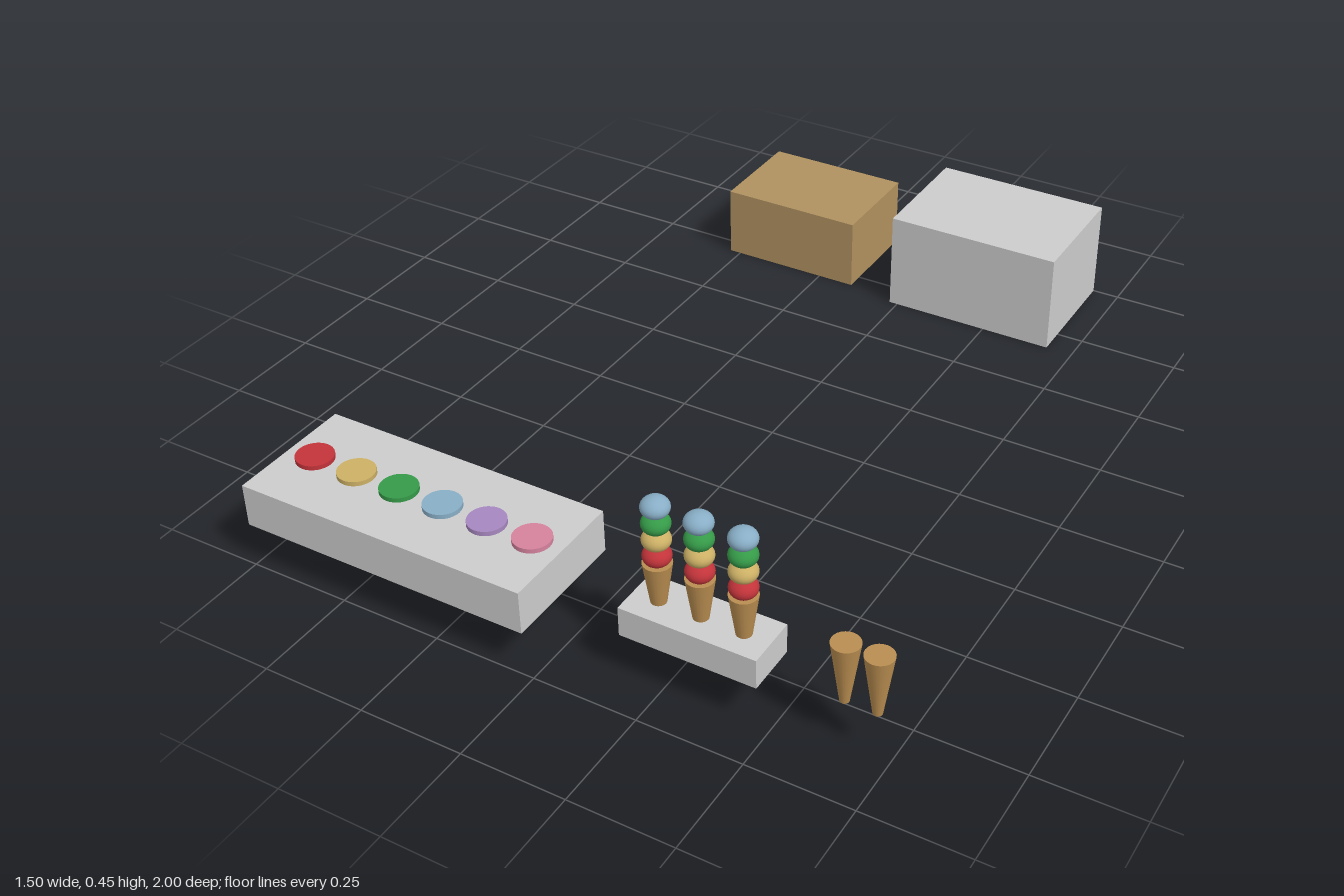
import * as THREE from 'three';

const mat = (color) => new THREE.MeshStandardMaterial({ color });
const grey = mat(0xcccccc);
const wood = mat(0xb0915f);
const wafer = mat(0xb98d50);
const red = mat(0xc2343a);
const yellow = mat(0xccb065);
const green = mat(0x359a48);
const blue = mat(0x88aec6);
const purple = mat(0xa687bf);
const pink = mat(0xd5829d);

const ROW_Z = 0.845;

function add(parent, name, geometry, material, x = 0, y = 0, z = 0) {
  const mesh = new THREE.Mesh(geometry, material);
  mesh.name = name;
  mesh.position.set(x, y, z);
  parent.add(mesh);
  return mesh;
}

// Box given by its lower and upper corners
function block(parent, name, material, [x0, y0, z0], [x1, y1, z1]) {
  return add(parent, name, new THREE.BoxGeometry(x1 - x0, y1 - y0, z1 - z0), material,
    (x0 + x1) / 2, (y0 + y1) / 2, (z0 + z1) / 2);
}

export function createModel() {
  const model = new THREE.Group();
  model.name = 'iceCreamStand';

  // Counter, cone tray and the two storage boxes behind
  block(model, 'counter', grey, [-0.75, 0.112, 0.69], [-0.022, 0.218, 1]);
  block(model, 'coneTray', grey, [0.153, 0.112, 0.78], [0.476, 0.184, 0.905]);
  block(model, 'woodenBox', wood, [-0.53, 0, -0.975], [-0.152, 0.186, -0.703]);
  block(model, 'freezerBox', grey, [-0.022, 0, -1], [0.431, 0.256, -0.677]);

  // Flavour tubs sunk in the counter top
  const tub = new THREE.CylinderGeometry(0.044, 0.044, 0.025, 32);
  [red, yellow, green, blue, purple, pink].forEach((flavour, i) => {
    add(model, 'flavourTub', tub, flavour, -0.677 + i * 0.1163, 0.2165, ROW_Z);
  });

  // Filled cones standing in the tray, four scoops each
  const cone = new THREE.CylinderGeometry(0.032, 0.0105, 0.15, 24);
  const scoop = new THREE.SphereGeometry(0.0315, 24, 16).scale(1, 0.74, 1);
  for (const x of [0.214, 0.314, 0.414]) {
    const filled = new THREE.Group();
    filled.name = 'filledCone';
    filled.position.set(x, 0, ROW_Z);
    add(filled, 'cone', cone, wafer, 0, 0.21, 0);
    [red, yellow, green, blue].forEach((flavour, i) => {
      add(filled, 'scoop', scoop, flavour, 0, 0.303 + i * 0.0405, 0);
    });
    model.add(filled);
  }

  // Spare empty cones
  for (const x of [0.641, 0.714]) add(model, 'spareCone', cone, wafer, x, 0.184, ROW_Z);

  return model;
}
